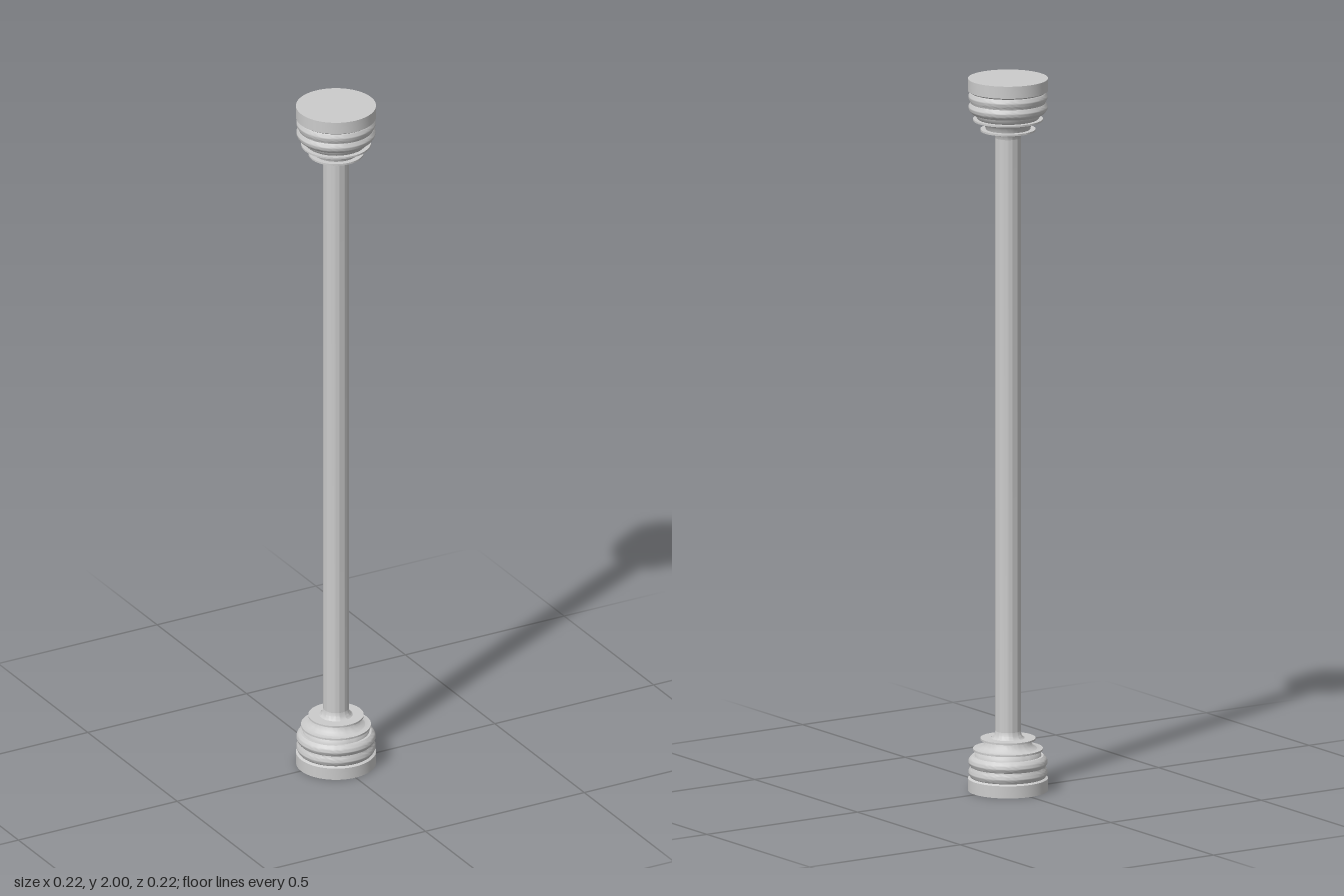
import * as THREE from 'three';
import { toCreasedNormals } from 'three/addons/utils/BufferGeometryUtils.js';

const material = new THREE.MeshStandardMaterial({ color: 0xcccccc, side: THREE.DoubleSide });
const SEGMENTS = 64;

// Turned part from [radius, height] pairs, listed bottom to top
function turned(name, points) {
  const profile = points.map(([r, y]) => new THREE.Vector2(r, y));
  const geometry = toCreasedNormals(new THREE.LatheGeometry(profile, SEGMENTS), 0.6);
  const mesh = new THREE.Mesh(geometry, material);
  mesh.name = name;
  return mesh;
}

// Half-round bulge between two heights
function bulge(radius, depth, y0, y1, steps = 8) {
  return Array.from({ length: steps + 1 }, (_, i) => {
    const t = i / steps;
    return [radius + depth * Math.sin(Math.PI * t), y0 + (y1 - y0) * t];
  });
}

// Moulded end piece, standing on y = 0
function createEnd(name) {
  const end = new THREE.Group();
  end.name = name;
  end.add(
    turned('plinth', [[0, 0], [0.11, 0], [0.11, 0.034], [0.104, 0.038], [0, 0.038]]),
    turned('roundMoulding', [
      [0.1, 0.036], ...bulge(0.103, 0.006, 0.038, 0.066),
      ...bulge(0.103, 0.006, 0.068, 0.094), [0.098, 0.098], [0, 0.098],
    ]),
    turned('neckMoulding', [
      [0.092, 0.096], [0.09, 0.104], [0.083, 0.113],
      [0.096, 0.113], [0.096, 0.118], [0.08, 0.118],
      [0.07, 0.124], [0.064, 0.132], [0.061, 0.142],
      [0.076, 0.142], [0.076, 0.147], [0.046, 0.147],
    ]),
    // Low fillet where the shaft meets the moulding
    turned('shaftFillet', [[0.047, 0.146], [0.041, 0.15], [0.037, 0.157], [0.035, 0.167]]),
  );
  return end;
}

export function createModel() {
  const column = new THREE.Group();
  column.name = 'column';

  // Base and its inverted twin on top
  const base = createEnd('base');
  const capital = createEnd('capital');
  capital.rotation.x = Math.PI;
  capital.position.y = 2;

  // Plain shaft between the two
  const shaft = turned('shaft', [[0.035, 0.12], [0.035, 1.88]]);

  column.add(base, shaft, capital);
  return column;
}
